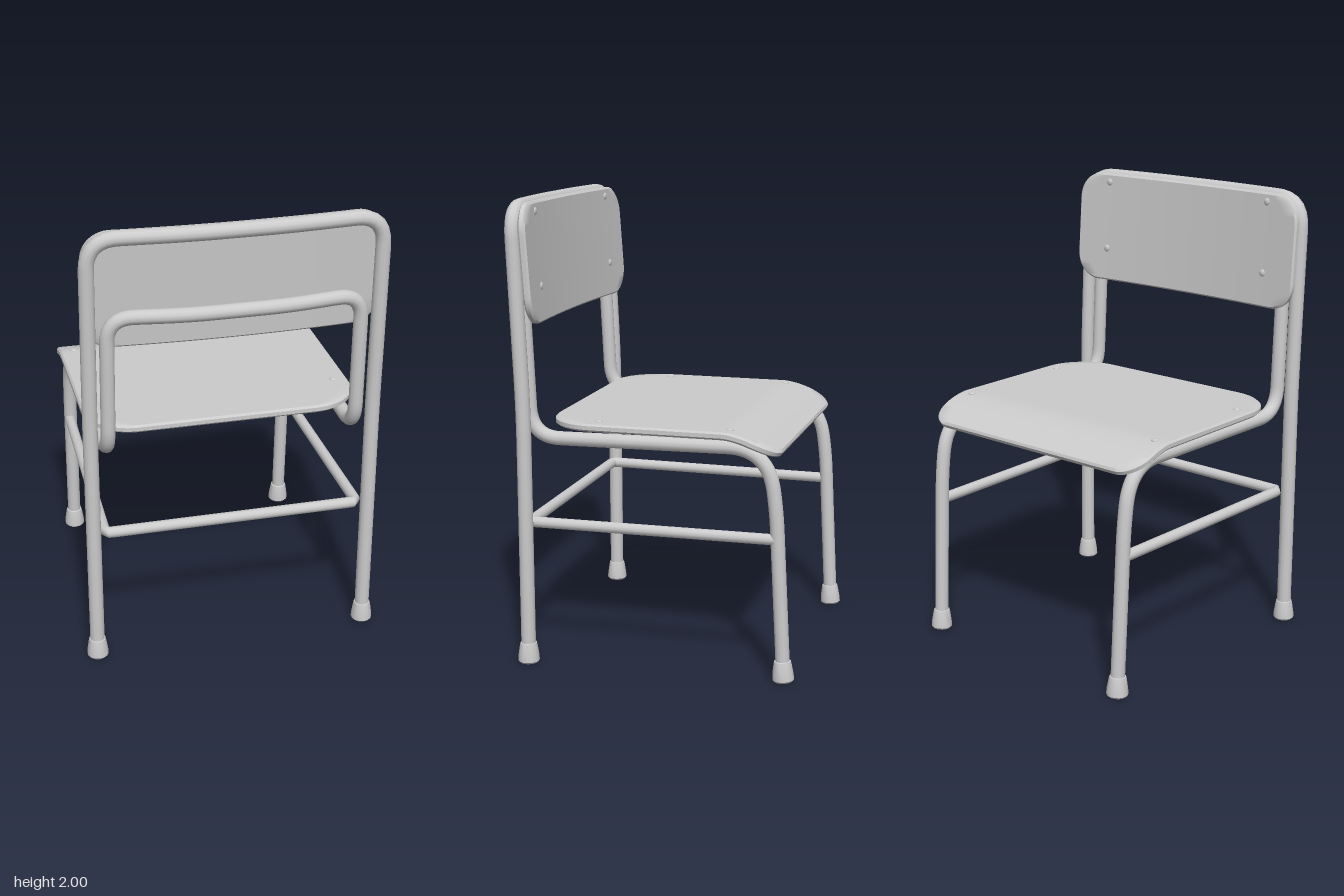
import * as THREE from 'three';
import { toCreasedNormals } from 'three/addons/utils/BufferGeometryUtils.js';

const material = new THREE.MeshStandardMaterial({ color: 0xcccccc });
const V = (x, y, z) => new THREE.Vector3(x, y, z);

function part(name, geometry, parent) {
  const mesh = new THREE.Mesh(geometry, material);
  mesh.name = name;
  parent.add(mesh);
  return mesh;
}

// Bent tube through [x, y, z, bend] points; bend is the length trimmed at a corner
function bentTube(points, radius, segments) {
  const p = points.map(([x, y, z]) => V(x, y, z));
  const path = new THREE.CurvePath();
  let from = p[0];
  for (let i = 1; i < p.length - 1; i++) {
    const bend = points[i][3];
    const a = p[i].clone().add(p[i - 1].clone().sub(p[i]).setLength(bend));
    const b = p[i].clone().add(p[i + 1].clone().sub(p[i]).setLength(bend));
    path.add(new THREE.LineCurve3(from, a));
    path.add(new THREE.QuadraticBezierCurve3(a, p[i], b));
    from = b;
  }
  path.add(new THREE.LineCurve3(from, p[p.length - 1]));
  return new THREE.TubeGeometry(path, segments, radius, 12);
}

// Repeats half a path on the other side of x = 0
const mirrored = (half) => [...half, ...half.slice().reverse().map(([x, y, z, b]) => [-x, y, z, b])];

// Round-cornered board with eased edges. Runs from l0 to l1, with corner sizes
// c0 and c1 at those ends; place(x, l, d) sets each point, d being the depth.
function board(halfWidth, l0, l1, c0, c1, thickness, place) {
  const g = new THREE.BoxGeometry(2, 2, 2, 20, 3, 48);
  const pos = g.attributes.position;
  for (let i = 0; i < pos.count; i++) {
    const s = pos.getY(i);
    const inset = Math.abs(s) > 0.9 ? 0.008 : 0;
    const d = (Math.abs(s) > 0.9 ? s : Math.sign(s) * 0.5) * thickness / 2;
    const a = l0 + inset, b = l1 - inset;
    const l = (a + b) / 2 + (b - a) / 2 * Math.sin(pos.getZ(i) * Math.PI / 2);
    let w = halfWidth - inset;
    for (const [c, gap] of [[c0, l - a], [c1, b - l]]) {
      if (gap < c) w -= c - Math.sqrt(Math.max(0, c * c - (c - gap) ** 2));
    }
    pos.setXYZ(i, ...place(pos.getX(i) * w, l, d));
  }
  return toCreasedNormals(g, 0.7);
}

export function createModel() {
  const chair = new THREE.Group();
  chair.name = 'chair';

  // Outer frame: rear legs and the bowed top rail
  part('rearFrame', bentTube(mirrored([
    [0.61, 0.03, 0.53], [0.61, 1.12, 0.532, 0.15], [0.608, 1.968, 0.57, 0.13], [0.2, 1.968, 0.6, 0.12],
  ]), 0.032, 160), chair);

  // Inner frame: front legs, seat rails, uprights and the lower back rail
  part('seatFrame', bentTube(mirrored([
    [0.532, 0.03, -0.587], [0.535, 0.75, -0.55, 0.1], [0.535, 1.003, -0.51, 0.17],
    [0.535, 0.99, 0.525, 0.13], [0.532, 1.625, 0.555, 0.11], [0.2, 1.625, 0.6, 0.1],
  ]), 0.031, 260), chair);

  // Stretchers: one on each side and one across the rear
  part('stretchers', bentTube(mirrored([
    [0.54, 0.62, -0.55], [0.56, 0.62, 0.53, 0.025],
  ]), 0.024, 120), chair);

  // Seat: flat, rolled down at the front edge
  const seatY = (z) => 1.058 - 0.085 * (Math.max(0, -0.33 - z) / 0.235) ** 1.6;
  part('seat', board(0.6, -0.56, 0.455, 0.11, 0.21, 0.034, (x, z, d) => {
    const slope = (seatY(z + 0.005) - seatY(z - 0.005)) / 0.01;
    const n = Math.hypot(1, slope);
    return [x, seatY(z) + d / n, z - d * slope / n];
  }), chair);

  // Backrest: leaning back and bowed across its width
  const backZ = (x, y) => 0.492 + (y - 1.48) * 0.07 + 0.03 * (1 - (x / 0.62) ** 2);
  part('backrest', board(0.625, 1.477, 1.985, 0.12, 0.12, 0.034,
    (x, y, d) => [x, y, backZ(x, y) - d]), chair);

  // Screw heads
  const screw = new THREE.SphereGeometry(0.017, 10, 6);
  for (const side of [1, -1]) {
    for (const z of [-0.35, 0.22]) {
      const head = part('seatScrew', screw, chair);
      head.position.set(side * 0.535, seatY(z) + 0.016, z);
      head.scale.y = 0.5;
    }
    for (const y of [1.63, 1.945]) {
      const head = part('backrestScrew', screw, chair);
      head.position.set(side * 0.455, y, backZ(0.455, y) - 0.016);
      head.scale.z = 0.5;
    }
  }

  // Floor caps on the four legs
  const cap = toCreasedNormals(new THREE.LatheGeometry([
    [0, 0], [0.04, 0], [0.047, 0.008], [0.046, 0.03], [0.039, 0.075], [0.036, 0.088], [0.03, 0.09],
  ].map(([r, y]) => new THREE.Vector2(r, y)), 14), 0.7);
  for (const side of [1, -1]) {
    part('rearFoot', cap, chair).position.set(side * 0.61, 0, 0.53);
    const front = part('frontFoot', cap, chair);
    front.position.set(side * 0.532, 0.002, -0.588);
    front.rotation.x = 0.05;
  }
  return chair;
}
